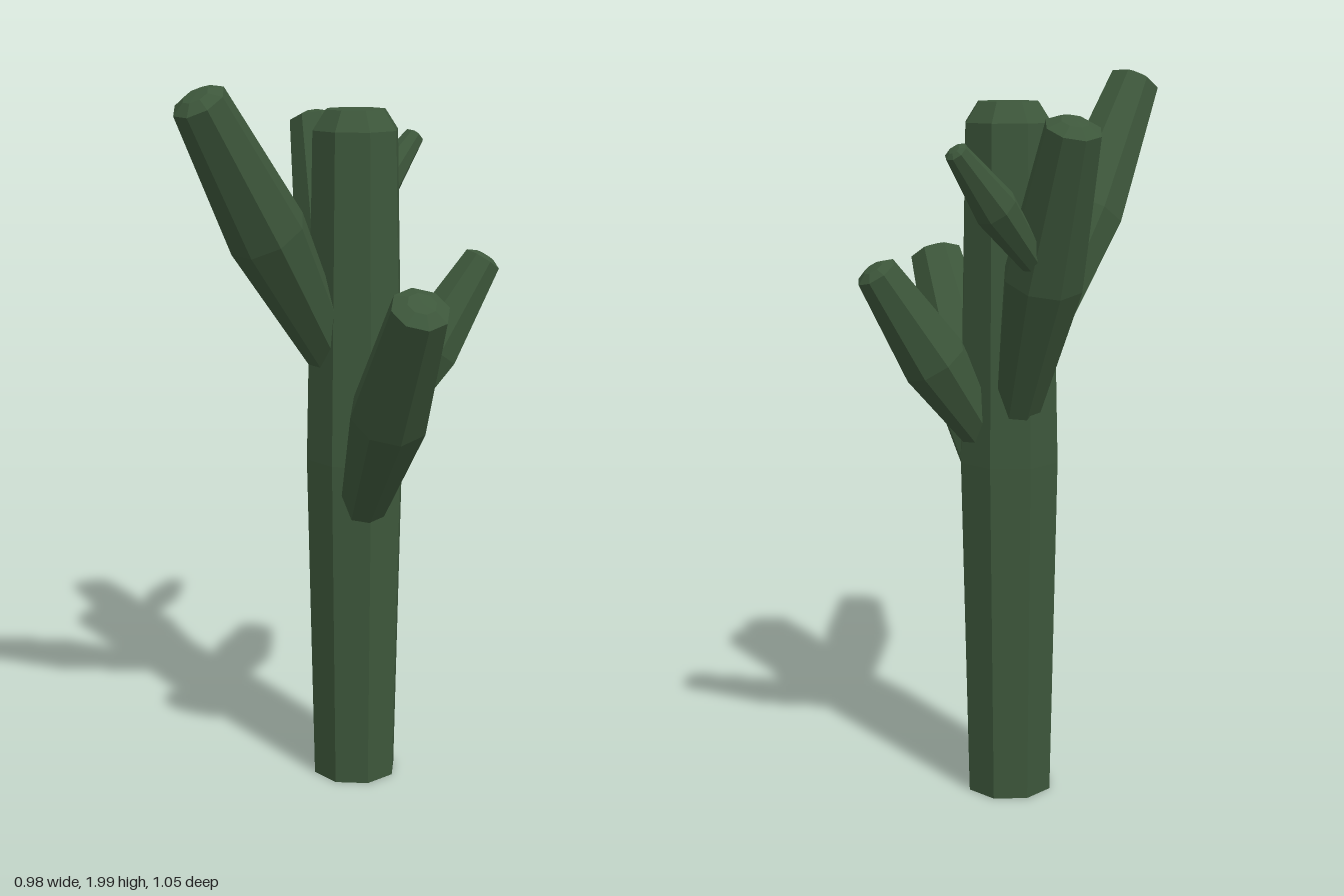
import * as THREE from 'three';

const SIDES = 8;

// Faceted solid of revolution; profile is [radius, height] from bottom to top
function faceted(profile) {
  const points = profile.map(([r, y]) => new THREE.Vector2(r, y));
  const geometry = new THREE.LatheGeometry(points, SIDES).toNonIndexed();
  geometry.computeVertexNormals();
  return geometry;
}

// Swollen branch from base to tip, widest at the middle, with a low domed end
function makeArm(name, material, base, tip, radii, swell = 0.5) {
  const from = new THREE.Vector3(...base);
  const axis = new THREE.Vector3(...tip).sub(from);
  const length = axis.length();
  const [rBase, rMid, rTip] = radii;
  const mesh = new THREE.Mesh(faceted([
    [0, 0],
    [rBase, 0],
    [rMid, length * swell],
    [rTip, length],
    [rTip * 0.5, length + rTip * 0.25],
    [0, length + rTip * 0.27],
  ]), material);
  mesh.name = name;
  mesh.position.copy(from);
  mesh.quaternion.setFromUnitVectors(new THREE.Vector3(0, 1, 0), axis.normalize());
  return mesh;
}

export function createModel() {
  const model = new THREE.Group();
  model.name = 'cactus';

  const green = new THREE.MeshStandardMaterial({ color: 0x3d573b });
  green.name = 'cactus green';

  // Trunk with a slight bulge and a bevelled top
  const trunk = new THREE.Mesh(faceted([
    [0, 0], [0.122, 0], [0.142, 0.95], [0.122, 1.86], [0.085, 1.915], [0, 1.917],
  ]), green);
  trunk.name = 'trunk';
  trunk.position.set(0.052, 0, -0.054);
  model.add(trunk);

  // Four arms around the trunk, and a small shoot on the back arm
  model.add(
    makeArm('frontArm', green, [0.05, 0.81, 0.015], [0.05, 1.455, 0.465], [0.065, 0.11, 0.078]),
    makeArm('rightArm', green, [-0.025, 1.25, -0.05], [-0.43, 1.955, 0.147], [0.065, 0.11, 0.074]),
    makeArm('leftArm', green, [0.11, 0.995, -0.06], [0.44, 1.485, -0.08], [0.05, 0.092, 0.057]),
    makeArm('backArm', green, [0.06, 1.08, -0.12], [0.06, 1.86, -0.457], [0.06, 0.108, 0.074]),
    makeArm('backShoot', green, [0.12, 1.525, -0.355], [0.363, 1.808, -0.433], [0.035, 0.058, 0.03]),
  );

  return model;
}
